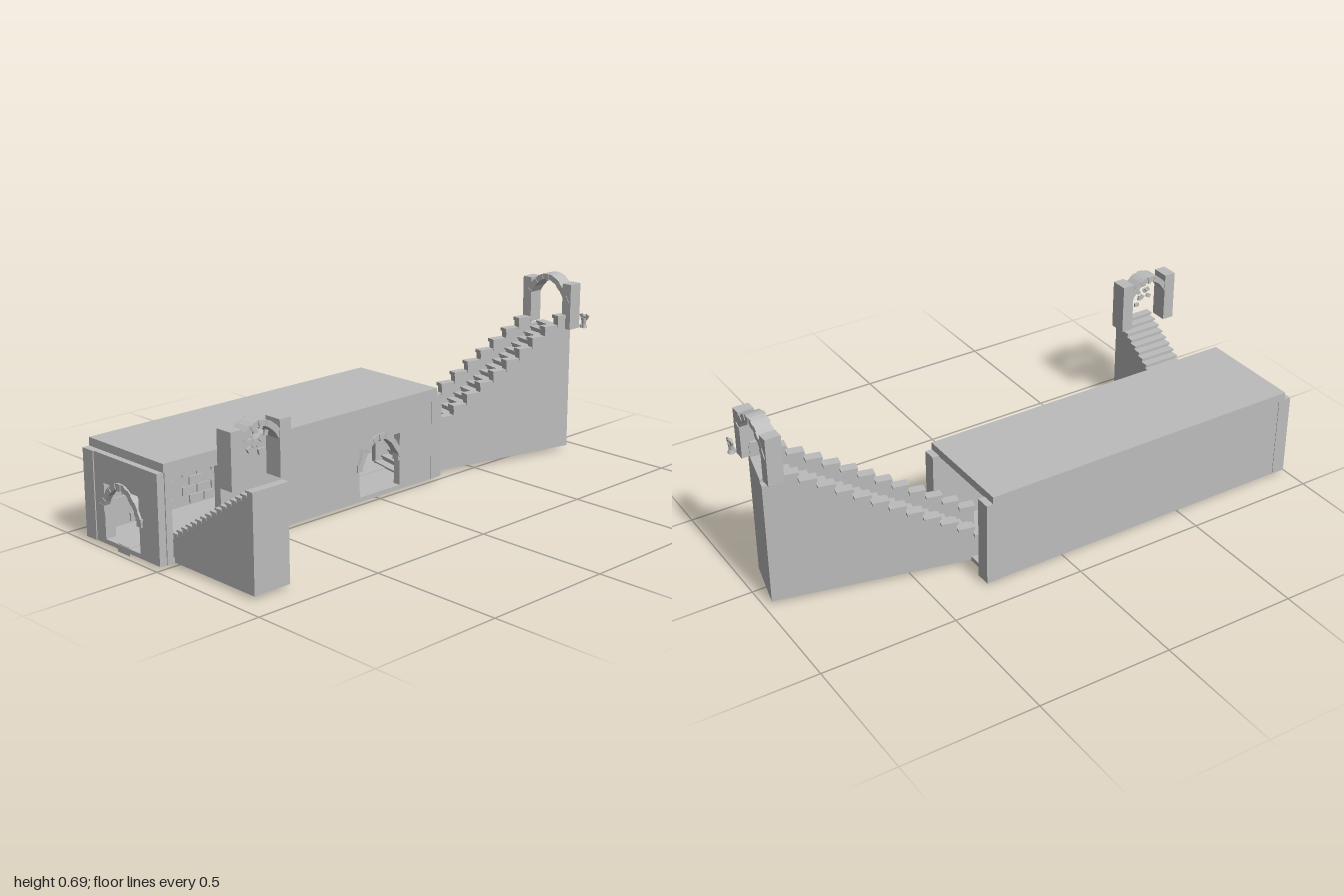
import * as THREE from 'three';

const stone = new THREE.MeshStandardMaterial({ color: 0xbcbcbc });
stone.name = 'grey stone';

function add(parent, name, geometry) {
  const m = new THREE.Mesh(geometry, stone);
  m.name = name;
  parent.add(m);
  return m;
}

// Box given by its min and max on each axis
function block(parent, name, x0, x1, y0, y1, z0, z1) {
  const m = add(parent, name, new THREE.BoxGeometry(x1 - x0, y1 - y0, z1 - z0));
  m.position.set((x0 + x1) / 2, (y0 + y1) / 2, (z0 + z1) / 2);
  return m;
}

function group(parent, name) {
  const g = new THREE.Group();
  g.name = name;
  parent.add(g);
  return g;
}

// Flat wall in u,y with rectangular openings [u0, u1, y0, y1]
function wall(parent, name, u0, u1, y0, y1, depth, openings) {
  const rect = (S, a, b, c, d) => {
    const s = new S();
    s.moveTo(a, c); s.lineTo(b, c); s.lineTo(b, d); s.lineTo(a, d); s.closePath();
    return s;
  };
  const shape = rect(THREE.Shape, u0, u1, y0, y1);
  for (const o of openings) shape.holes.push(rect(THREE.Path, ...o));
  return add(parent, name, new THREE.ExtrudeGeometry(shape, { depth, bevelEnabled: false }));
}

// Curved arch of wedge stones, centred on x = 0, springing at y = 0
function arch(parent, name, depth) {
  const g = group(parent, name);
  const half = 0.112, rise = 0.1, thick = 0.021, n = 13;
  const at = (t) => {
    const x = half * t, y = rise * (1 - Math.pow(Math.abs(t), 2.2));
    const slope = -2.2 * rise / half * Math.sign(t) * Math.pow(Math.abs(t), 1.2);
    const len = Math.hypot(1, slope);
    return { x, y, nx: -slope / len, ny: 1 / len };
  };
  for (let i = 0; i < n; i++) {
    const a = at(-1 + 2 * i / n), b = at(-1 + 2 * (i + 1) / n);
    const key = i === (n - 1) / 2;
    const th = thick + (key ? 0.005 : 0);
    const d = depth - (i % 2 ? 0.005 : 0) + (key ? 0.002 : 0);
    const s = new THREE.Shape();
    s.moveTo(a.x - a.nx * th, a.y - a.ny * th);
    s.lineTo(b.x - b.nx * th, b.y - b.ny * th);
    s.lineTo(b.x, b.y);
    s.lineTo(a.x, a.y);
    s.closePath();
    const m = add(g, key ? 'keystone' : 'archStone', new THREE.ExtrudeGeometry(s, { depth: d, bevelEnabled: false }));
    m.position.z = -d / 2;
  }
  return g;
}

// Springer stones under both feet of a wall arch
function springers(g, depth) {
  for (const s of [-1, 1]) {
    const b = block(g, 'springer', -0.012, 0.012, -0.022, 0.005, -depth / 2, depth / 2);
    b.position.x = s * 0.1;
    block(g, 'springerCap', -0.014, 0.014, -0.003, 0.007, -depth / 2 - 0.002, depth / 2 + 0.002).position.x = s * 0.1;
  }
}

function buildHall(root) {
  const hall = group(root, 'hall');
  block(hall, 'roof', -0.4, 0, 0.325, 0.355, -0.29, 0.96);
  block(hall, 'floor', -0.395, -0.005, 0.01, 0.028, -0.29, 0.965);
  block(hall, 'floorRunner', -0.235, -0.17, 0, 0.03, -0.29, 0.98);
  block(hall, 'leftWall', -0.398, -0.368, 0.012, 0.325, -0.288, 0.955);
  const right = wall(hall, 'rightWall', -0.288, 0.955, 0.012, 0.325, 0.03,
    [[-0.1, 0.1, 0.028, 0.225], [0.73, 0.93, 0.028, 0.3]]);
  right.rotation.y = -Math.PI / 2;
  right.position.x = -0.001;
  const front = wall(hall, 'frontWall', -0.345, -0.005, 0.012, 0.325, 0.04, [[-0.295, -0.107, 0.028, 0.225]]);
  front.position.z = 0.943;
  block(hall, 'frontPilaster', -0.4, -0.345, 0.012, 0.325, 0.935, 0.987);
  block(hall, 'rearPost', -0.4, -0.345, 0.012, 0.328, -0.315, -0.262);
  block(hall, 'rearPost', -0.05, 0, 0.012, 0.328, -0.315, -0.262);

  const frontArch = arch(hall, 'frontArch', 0.024);
  frontArch.position.set(-0.201, 0.146, 0.979);
  springers(frontArch, 0.022);
  const sideArch = arch(hall, 'sideArch', 0.036);
  sideArch.position.set(-0.011, 0.146, 0);
  sideArch.rotation.y = Math.PI / 2;
  springers(sideArch, 0.028);

  // Irregular raised bricks along the inside of the closed wall
  let seed = 7;
  const rnd = () => (seed = (seed * 16807) % 2147483647) / 2147483647;
  for (let row = 0; row < 8; row++) {
    for (let z = -0.25 + (row % 2) * 0.03; z < 0.88; z += 0.064) {
      if (rnd() < 0.35) continue;
      block(hall, 'brick', -0.37, -0.362, 0.034 + row * 0.034, 0.064 + row * 0.034, z, z + 0.058);
    }
  }
}

function buildRearStairs(root) {
  const stairs = group(root, 'rearStairs');
  stairs.position.set(-0.003, 0, -0.952);
  stairs.rotation.y = -0.227;
  const length = 0.77, base = 0.014;
  // Solid steps with overhanging treads
  const n = 26, run = length / n;
  for (let i = 0; i < n; i++) {
    const y = 0.035 + i * 0.018, z1 = length - i * run, z0 = z1 - run;
    block(stairs, 'step', -0.072, 0.072, base, y - 0.006, z0, z1);
    block(stairs, 'tread', -0.072, 0.072, y - 0.007, y, z0, z1 + 0.006);
  }
  // Stepped parapets with caps
  const posts = 13, span = length / posts;
  for (const s of [-1, 1]) {
    for (let i = 0; i < posts; i++) {
      const z1 = length - i * span;
      const last = s < 0 && i === posts - 1;
      const y = last ? 0.485 : 0.116 + i * 0.0354;
      const x = s * 0.085;
      block(stairs, 'parapet', x - 0.014, x + 0.014, base, y - 0.01, z1 - span, z1);
      if (!last) block(stairs, 'parapetCap', x - 0.018, x + 0.018, y - 0.013, y, z1 - span + 0.004, z1 + 0.004);
    }
  }

  // Gateway at the head of the stairs
  const gate = group(root, 'rearGate');
  block(gate, 'gatePillar', -0.125, -0.085, 0.485, 0.66, -0.962, -0.905);
  block(gate, 'gatePillar', 0.071, 0.111, 0.485, 0.66, -0.962, -0.905);
  arch(gate, 'gateArch', 0.062).position.set(-0.006, 0.586, -0.934);

  // Small winged statue behind the gate
  const statue = group(root, 'statue');
  statue.position.set(0.123, 0.485, -0.975);
  add(statue, 'statueBase', new THREE.CylinderGeometry(0.01, 0.014, 0.012, 8)).position.y = 0.006;
  add(statue, 'statueBody', new THREE.CylinderGeometry(0.011, 0.008, 0.028, 8)).position.y = 0.025;
  add(statue, 'statueHead', new THREE.SphereGeometry(0.008, 8, 6)).position.y = 0.046;
  for (const s of [-1, 1]) {
    const wing = add(statue, 'statueWing', new THREE.BoxGeometry(0.014, 0.02, 0.006));
    wing.position.set(s * 0.011, 0.043, -0.003);
    wing.rotation.z = -s * 0.5;
    add(statue, 'statueFoot', new THREE.BoxGeometry(0.007, 0.01, 0.016)).position.set(s * 0.006, 0.008, 0.006);
  }
}

function buildSideStairs(root) {
  const stairs = group(root, 'sideStairs');
  const n = 21, x0 = -0.13, run = (0.393 - x0) / n;
  for (let i = 0; i < n; i++) {
    const y = 0.035 + i * 0.01575, x = x0 + i * run;
    block(stairs, 'step', x, x + run, 0.012, y - 0.005, 0.78, 0.925);
    block(stairs, 'tread', x - 0.006, x + run, y - 0.007, y, 0.778, 0.927);
  }
  // Gateway raised over the upper steps
  const gate = group(root, 'sideGate');
  block(gate, 'gatePillar', 0.289, 0.355, 0.352, 0.541, 0.928, 0.973);
  block(gate, 'gatePillar', 0.289, 0.355, 0.352, 0.541, 0.732, 0.778);
  const a = arch(gate, 'gateArch', 0.066);
  a.position.set(0.322, 0.455, 0.853);
  a.rotation.y = Math.PI / 2;
  // Loose stone chips inside the arch
  for (let i = 0; i < 9; i++) {
    const chip = add(gate, 'stoneChip', new THREE.BoxGeometry(0.008, 0.014, 0.018));
    chip.position.set(0.31 + (i % 3) * 0.012, 0.44 + (i * 5 % 9) * 0.009, 0.81 + (i * 2 % 9) * 0.008);
    chip.rotation.x = i * 0.9;
  }
}

export function createModel() {
  const root = new THREE.Group();
  root.name = 'hallWithStairs';
  buildHall(root);
  buildRearStairs(root);
  buildSideStairs(root);
  return root;
}
